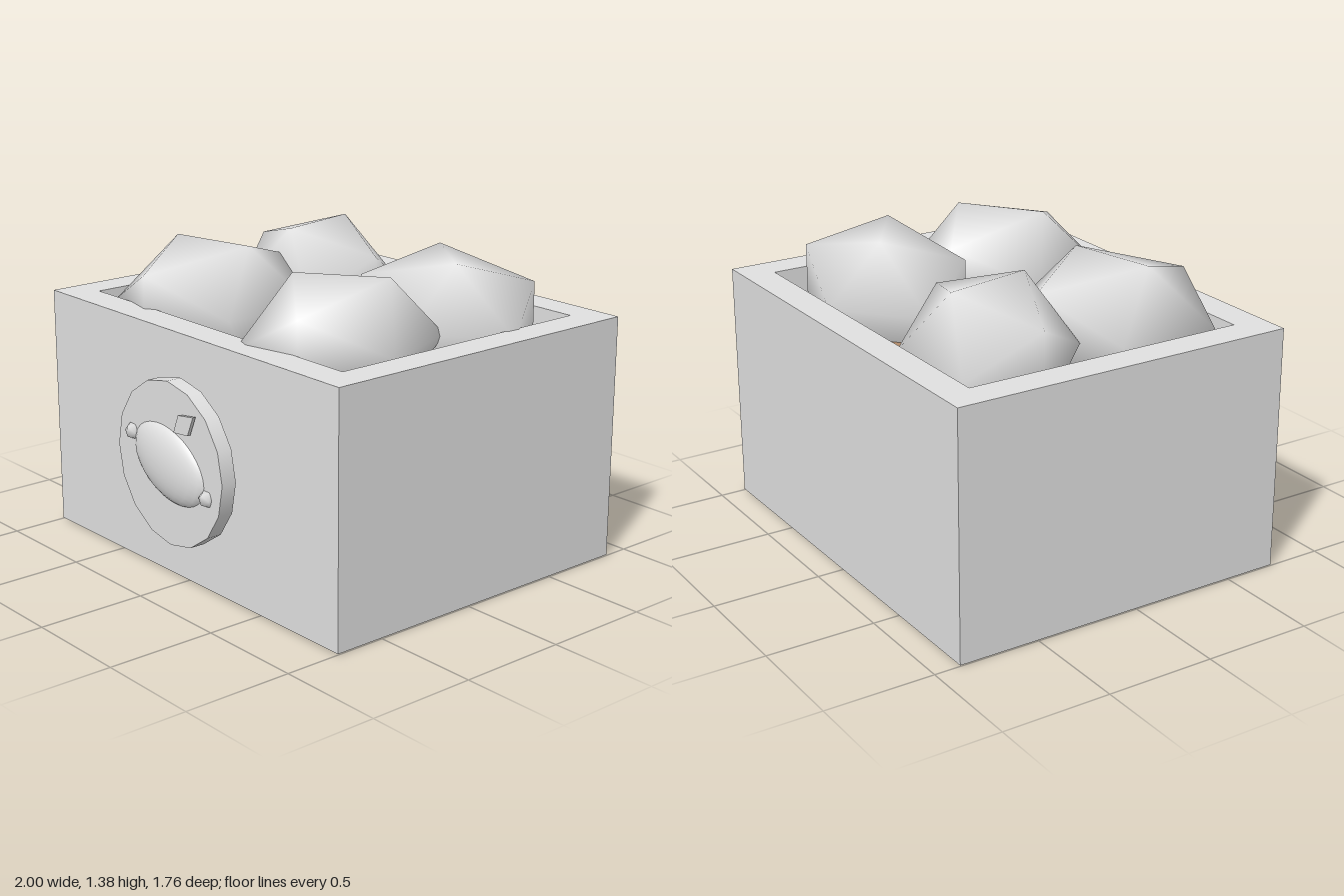
import * as THREE from 'three';
import { mergeVertices } from 'three/addons/utils/BufferGeometryUtils.js';

const PHI = (1 + Math.sqrt(5)) / 2;

// Icosahedron with shared vertices, so it shades smoothly
function smoothIcosahedron(radius) {
  const g = new THREE.IcosahedronGeometry(radius, 0);
  g.deleteAttribute('normal');
  g.deleteAttribute('uv');
  const merged = mergeVertices(g);
  merged.computeVertexNormals();
  return merged;
}

function polygon(points, PathType = THREE.Shape) {
  return new PathType(points.map(([x, y]) => new THREE.Vector2(x, y)));
}

export function createModel() {
  const model = new THREE.Group();
  model.name = 'crate';

  const grey = new THREE.MeshStandardMaterial({ color: 0xe0e0e0 });
  grey.name = 'pale grey';
  const brown = new THREE.MeshStandardMaterial({ color: 0xb28b6a });
  brown.name = 'brown';

  function add(name, geometry, material, x = 0, y = 0, z = 0, parent = model) {
    const mesh = new THREE.Mesh(geometry, material);
    mesh.name = name;
    mesh.position.set(x, y, z);
    parent.add(mesh);
    return mesh;
  }

  // Crate walls: a rectangular frame extruded upwards (shape y = -z)
  const frame = polygon([[-1, -0.74], [1, -0.74], [1, 0.88], [-1, 0.88]]);
  frame.holes.push(polygon([[-0.85, -0.59], [-0.85, 0.735], [0.85, 0.735], [0.85, -0.59]], THREE.Path));
  const walls = new THREE.ExtrudeGeometry(frame, { depth: 1.121, bevelEnabled: false });
  walls.rotateX(-Math.PI / 2);
  add('walls', walls, grey, 0, 0.004, 0);

  // Inner floor and the panel under the crate
  add('innerFloor', new THREE.BoxGeometry(1.7, 0.9, 1.325), brown, 0, 0.5, -0.0725);
  add('basePanel', new THREE.BoxGeometry(1.94, 0.008, 1.56), brown, 0, 0.004, -0.07);

  // Four lumps, each an icosahedron stretched along its own two ground axes
  const lumps = [
    { name: 'frontRightLump', at: [-0.44, 0.24], u: [0.204, -0.045], v: [-0.015, 0.38] },
    { name: 'backRightLump', at: [-0.44, -0.385], u: [0.04, 0.204], v: [-0.38, 0.025] },
    { name: 'backLeftLump', at: [0.435, -0.385], u: [0.17, 0.117], v: [-0.295, 0.245] },
    { name: 'frontLeftLump', at: [0.435, 0.235], u: [0.17, -0.125], v: [0.13, 0.35] },
  ];
  for (const { name, at, u, v } of lumps) {
    const g = smoothIcosahedron(Math.sqrt(1 + PHI * PHI));
    g.applyMatrix4(new THREE.Matrix4().makeBasis(
      new THREE.Vector3(u[0], 0, u[1]),
      new THREE.Vector3(0, 0.18, 0),
      new THREE.Vector3(v[0] / PHI, 0, v[1] / PHI),
    ));
    g.computeVertexNormals();
    add(name, g, grey, at[0], 1.093, at[1]);
  }

  // Round badge on the front
  const badge = new THREE.Group();
  badge.name = 'badge';
  badge.position.set(0, 0.565, 0);
  model.add(badge);

  const disc = new THREE.CylinderGeometry(0.372, 0.372, 0.072, 16);
  disc.rotateX(Math.PI / 2);
  add('badgeDisc', disc, grey, 0, 0, 0.795, badge);

  // Fruit relief with a small knob at each end
  const fruit = add('fruit', new THREE.SphereGeometry(1, 24, 16), grey, 0, 0, 0.815, badge);
  fruit.scale.set(0.26, 0.165, 0.067);
  fruit.rotation.z = -0.29;
  for (const side of [-1, 1]) {
    add('fruitKnob', smoothIcosahedron(0.042), grey, side * 0.263, -side * 0.085, 0.825, badge);
  }

  // Leaf
  const leaf = polygon([[0.07, 0.165], [0.17, 0.175], [0.21, 0.265], [0.105, 0.25]]);
  add('leaf', new THREE.ExtrudeGeometry(leaf, { depth: 0.015, bevelEnabled: false }), grey, 0, 0, 0.84, badge);

  return model;
}
